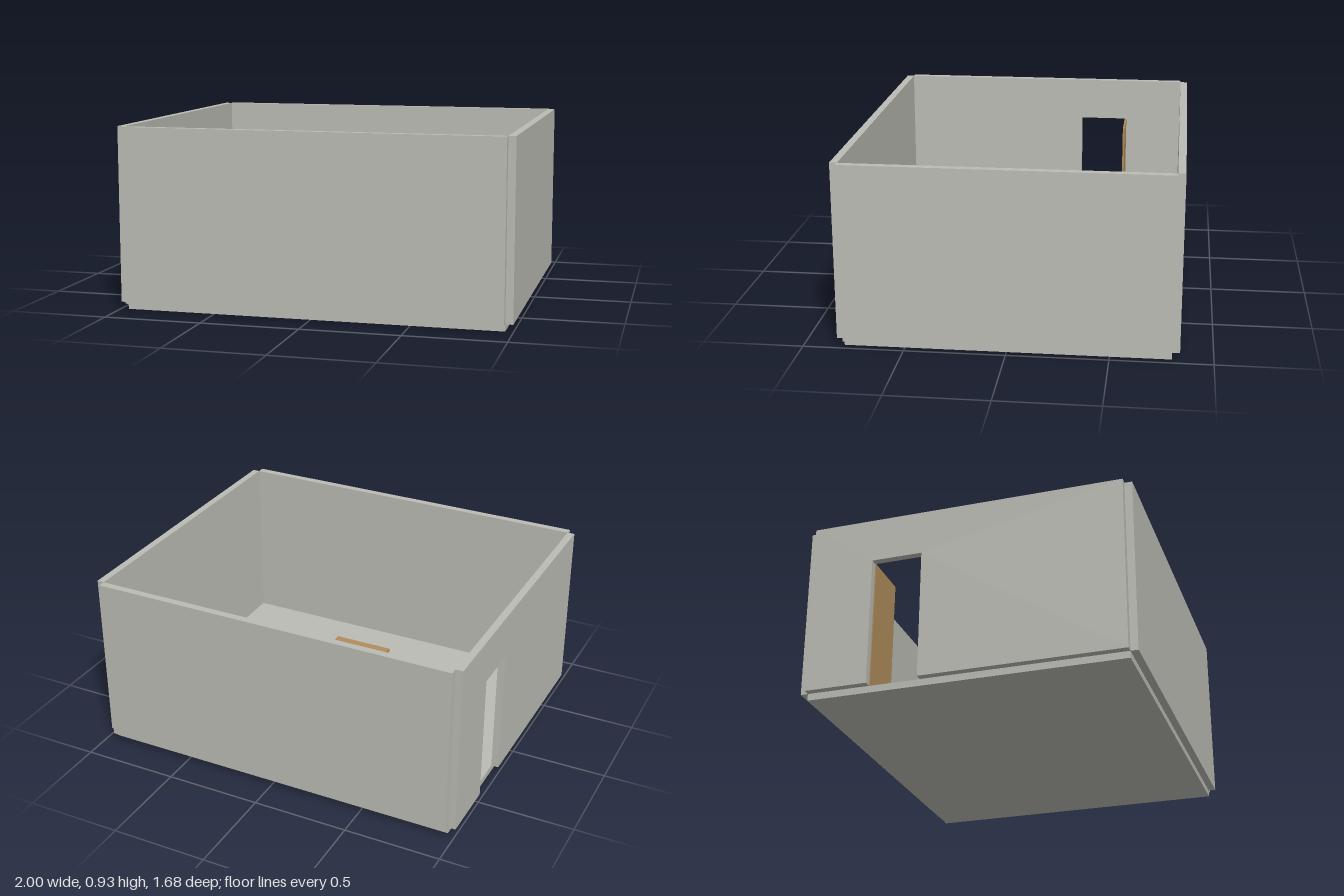
import * as THREE from 'three';

export function createModel() {
  const model = new THREE.Group();
  model.name = 'room';

  const mat = (name, color) => {
    const m = new THREE.MeshStandardMaterial({ color });
    m.name = name;
    return m;
  };
  const plaster = mat('plaster grey', 0xbcbcb5);
  const wood = mat('wood brown', 0xb08d5c);
  const teal = mat('chair teal', 0x36909a);

  // Box given by its lower and upper corners
  const box = (parent, name, material, [x0, y0, z0], [x1, y1, z1]) => {
    const geo = new THREE.BoxGeometry(x1 - x0, y1 - y0, z1 - z0);
    geo.translate((x0 + x1) / 2, (y0 + y1) / 2, (z0 + z1) / 2);
    const mesh = new THREE.Mesh(geo, material);
    mesh.name = name;
    parent.add(mesh);
    return mesh;
  };

  const X = 0.96, Z = 0.8, FLOOR = 0.035, TOP = 0.93, WALL = 0.038;
  const DOOR_TOP = 0.7, HINGE = -0.48, LATCH = -0.22;

  // Floor slab and the three plain walls
  box(model, 'floor', plaster, [-X, 0, -Z], [X, FLOOR, Z]);
  box(model, 'frontWall', plaster, [-X, FLOOR, Z], [X, TOP, Z + WALL]);
  box(model, 'backWall', plaster, [-X, FLOOR, -Z - WALL], [X, TOP, -Z]);
  box(model, 'leftWall', plaster, [X, FLOOR, -Z], [X + WALL, TOP, Z]);

  // Right wall with a doorway cut up from its lower edge, drawn in (z, y)
  const outline = new THREE.Shape([
    [-Z, FLOOR], [HINGE, FLOOR], [HINGE, DOOR_TOP], [LATCH, DOOR_TOP],
    [LATCH, FLOOR], [Z, FLOOR], [Z, TOP], [-Z, TOP],
  ].map(([z, y]) => new THREE.Vector2(z, y)));
  const wallGeo = new THREE.ExtrudeGeometry(outline, { depth: WALL, bevelEnabled: false });
  wallGeo.rotateY(-Math.PI / 2).translate(-X, 0, 0);
  const doorWall = new THREE.Mesh(wallGeo, plaster);
  doorWall.name = 'rightWallWithDoorway';
  model.add(doorWall);

  // Door leaf standing open into the room
  box(model, 'door', wood, [-X, FLOOR, HINGE - 0.005], [-0.71, DOOR_TOP, HINGE + 0.005]);

  // Four square legs at the corners of a footprint
  const legs = (parent, name, material, [x0, z0, x1, z1], top, w) => {
    for (const x of [x0, x1 - w])
      for (const z of [z0, z1 - w])
        box(parent, name, material, [x, FLOOR, z], [x + w, top, z + w]);
  };

  // Table
  const table = new THREE.Group();
  table.name = 'table';
  box(table, 'tableTop', wood, [-0.16, 0.265, 0.06], [0.16, 0.28, 0.25]);
  legs(table, 'tableLeg', wood, [-0.155, 0.065, 0.155, 0.245], 0.265, 0.016);
  model.add(table);

  // Chair facing the table, its backrest to the rear
  const chair = new THREE.Group();
  chair.name = 'chair';
  box(chair, 'seat', teal, [-0.08, 0.17, -0.115], [0.08, 0.185, 0.045]);
  box(chair, 'backrest', teal, [-0.08, 0.185, -0.115], [0.08, 0.33, -0.103]);
  legs(chair, 'chairLeg', teal, [-0.078, -0.113, 0.078, 0.043], 0.17, 0.013);
  model.add(chair);

  return model;
}
